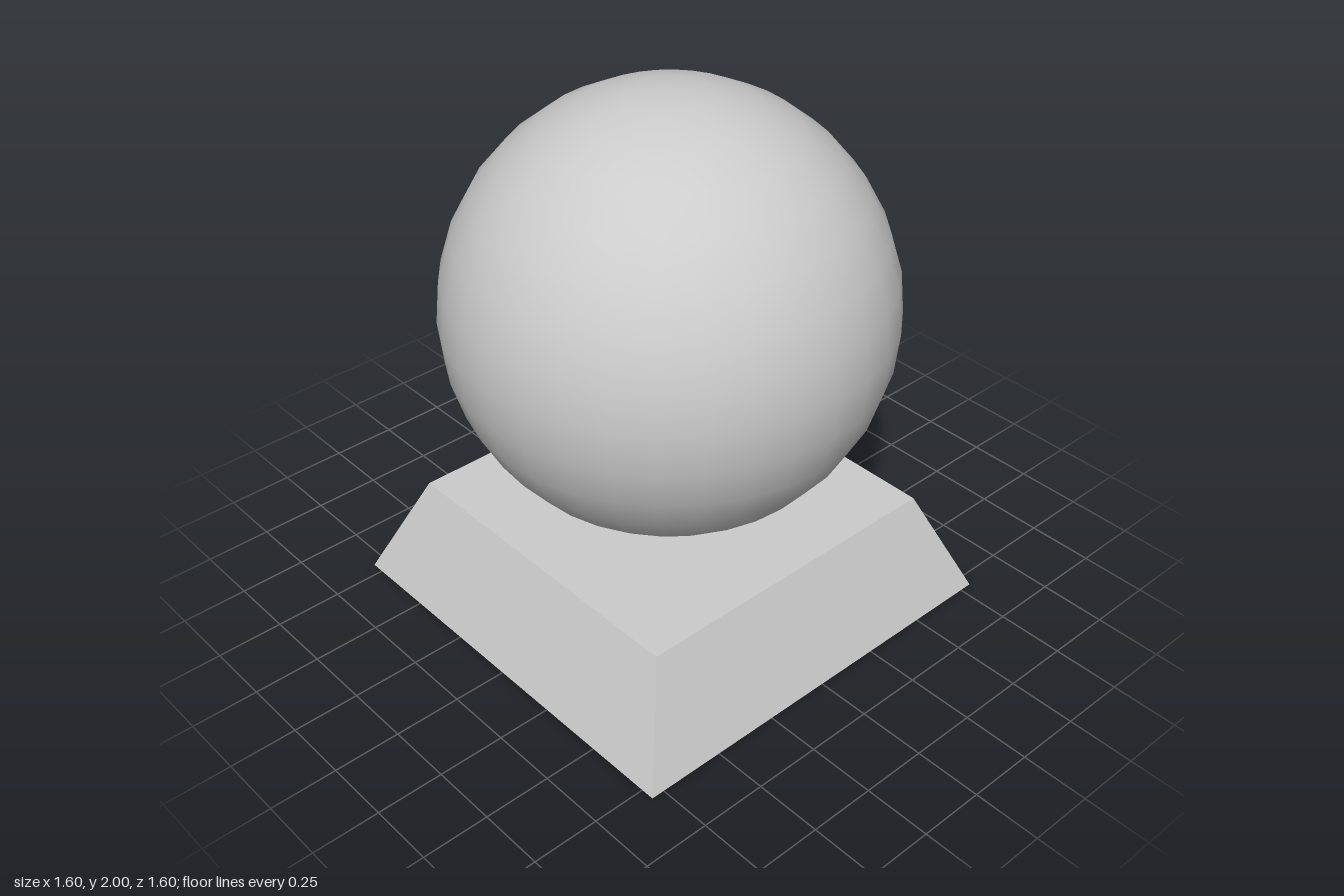
import * as THREE from 'three';

export function createModel() {
  const model = new THREE.Group();
  const smooth = new THREE.MeshStandardMaterial({ color: 0xcccccc });
  const flat = new THREE.MeshStandardMaterial({ color: 0xcccccc, flatShading: true });

  // Square tapered plinth: a four-sided cylinder turned so its faces meet the axes
  const baseHeight = 0.4;
  const baseGeometry = new THREE.CylinderGeometry(0.63 * Math.SQRT2, 0.8 * Math.SQRT2, baseHeight, 4);
  baseGeometry.rotateY(Math.PI / 4);
  const base = new THREE.Mesh(baseGeometry, flat);
  base.name = 'base';
  base.position.y = baseHeight / 2;
  model.add(base);

  // Ball resting just above the plinth
  const radius = 0.797;
  const ball = new THREE.Mesh(new THREE.SphereGeometry(radius, 32, 16), smooth);
  ball.name = 'ball';
  ball.position.y = 2 - radius;
  model.add(ball);

  return model;
}
